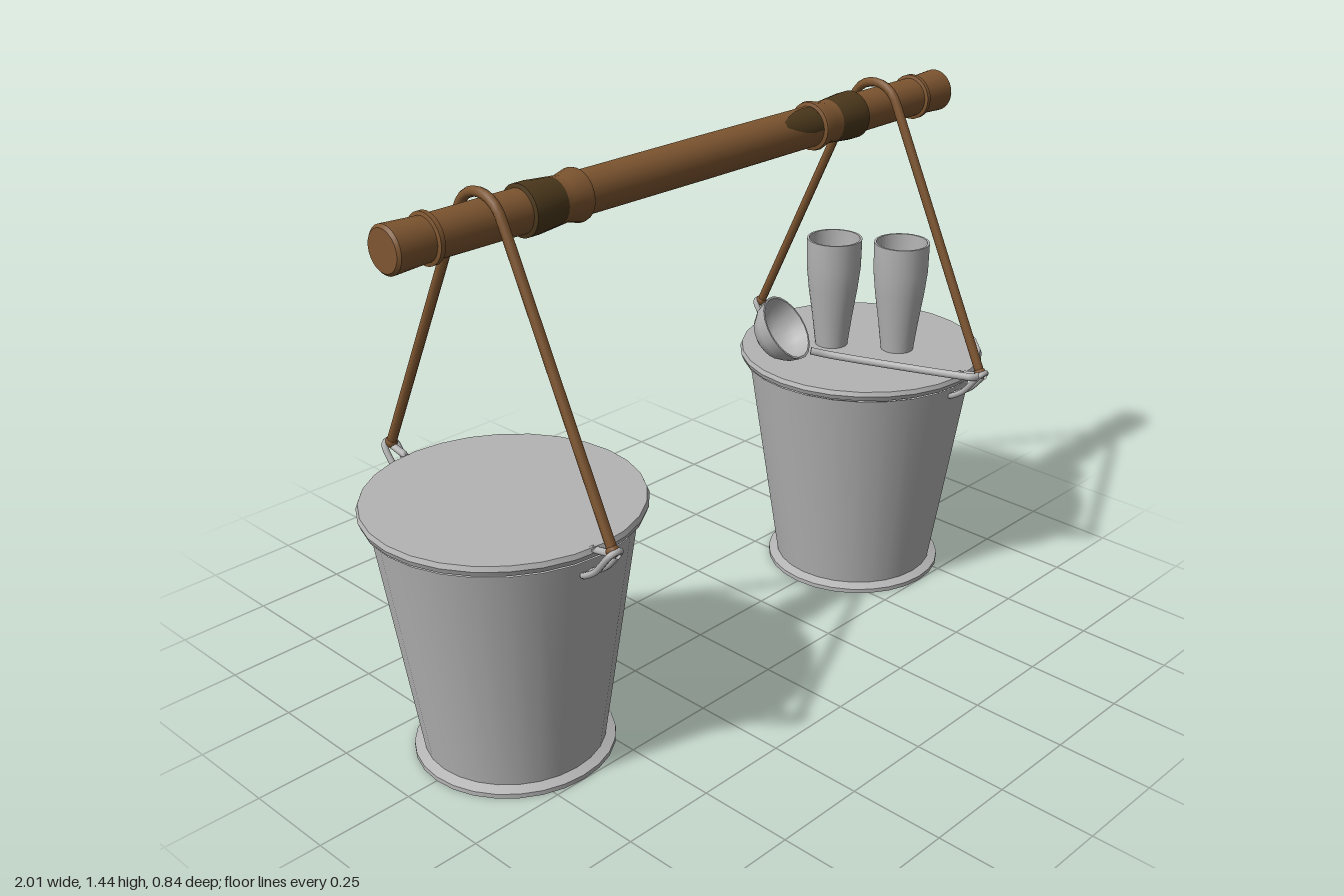
import * as THREE from 'three';
import { toCreasedNormals } from 'three/addons/utils/BufferGeometryUtils.js';

const steel = new THREE.MeshStandardMaterial({ color: 0xb4b4b4, side: THREE.DoubleSide });
steel.name = 'steel';
const wood = new THREE.MeshStandardMaterial({ color: 0x7d5530 });
wood.name = 'wood';
const darkWood = new THREE.MeshStandardMaterial({ color: 0x4b381c, side: THREE.DoubleSide });
darkWood.name = 'darkWood';

const POLE_Y = 1.355;
const V = (x, y, z) => new THREE.Vector3(x, y, z);

function add(parent, name, geometry, material) {
  const mesh = new THREE.Mesh(geometry, material);
  mesh.name = name;
  parent.add(mesh);
  return mesh;
}

function lathe(profile, segments = 24) {
  const points = profile.map(([r, y]) => new THREE.Vector2(r, y));
  return toCreasedNormals(new THREE.LatheGeometry(points, segments), 0.6);
}

function tube(points, radius, segments, closed = false, tension = 0.5) {
  const curve = new THREE.CatmullRomCurve3(points, closed, 'catmullrom', tension);
  return new THREE.TubeGeometry(curve, segments, radius, 8, closed);
}

// Turned part lying along x on the pole axis
function poleLathe(parent, name, profile, material) {
  const mesh = add(parent, name, lathe(profile.map(([x, r]) => [r, x])), material);
  mesh.rotation.z = -Math.PI / 2;
  mesh.position.y = POLE_Y;
  return mesh;
}

// Covered pail with base flange and rolled rim
function bucket(x, top) {
  const g = new THREE.Group();
  g.name = 'bucket';
  add(g, 'bucketBody', lathe([
    [0, 0.006], [0.225, 0.006], [0.25, 0], [0.25, 0.012], [0.226, 0.022],
    [0.318, top - 0.035], [0.336, top - 0.03],
  ], 28), steel);
  add(g, 'lidAndRim', lathe([
    [0.318, top - 0.03], [0.338, top - 0.025], [0.343, top - 0.012], [0.338, top], [0, top],
  ], 28), steel);
  g.position.x = x;
  return g;
}

// Rope over the pole, with a wire ear at each end
function sling(x) {
  const g = new THREE.Group();
  g.name = 'sling';
  const path = new THREE.CurvePath();
  const side = [V(0, 0.69, 0.4), V(0, 1.385, 0.073)];
  const arc = [];
  for (let i = 0; i <= 8; i++) {
    const a = 0.42 + (i / 8) * (Math.PI - 0.84);
    arc.push(V(0, POLE_Y + 0.069 * Math.sin(a), 0.076 * Math.cos(a)));
  }
  path.add(new THREE.LineCurve3(side[0], arc[0]));
  path.add(new THREE.CatmullRomCurve3(arc));
  path.add(new THREE.LineCurve3(arc[8], V(0, 0.69, -0.4)));
  add(g, 'rope', new THREE.TubeGeometry(path, 90, 0.0125, 8), wood);
  for (const s of [1, -1]) {
    add(g, 'wireEar', tube([
      V(-0.014, 0.605, 0.315 * s), V(-0.017, 0.635, 0.36 * s), V(-0.016, 0.69, 0.405 * s),
      V(0.016, 0.69, 0.405 * s), V(0.017, 0.635, 0.36 * s), V(0.014, 0.605, 0.315 * s),
    ], 0.008, 40, true), steel);
    add(g, 'earPin', tube([V(0, 0.674, 0.33 * s), V(0, 0.69, 0.415 * s)], 0.009, 4), steel);
    const knot = add(g, 'ropeKnot', new THREE.SphereGeometry(0.016, 10, 8), wood);
    knot.position.set(0, 0.695, 0.398 * s);
  }
  g.position.x = x;
  return g;
}

// Hollow tapered beaker
function cup(x, z) {
  const mesh = new THREE.Mesh(lathe([
    [0, 0], [0.046, 0], [0.056, 0.08], [0.069, 0.17], [0.076, 0.235], [0.077, 0.315],
    [0.071, 0.315], [0.069, 0.235], [0.05, 0.08], [0.04, 0.02], [0, 0.02],
  ], 24), steel);
  mesh.name = 'cup';
  mesh.position.set(x, 0.67, z);
  return mesh;
}

// Dipper lying on the lid, bowl tipped towards its handle
function ladle() {
  const g = new THREE.Group();
  g.name = 'ladle';
  const bowl = add(g, 'ladleBowl', lathe([
    [0, -0.09], [0.035, -0.084], [0.066, -0.064], [0.086, -0.035], [0.096, 0],
    [0.09, 0], [0.08, -0.035], [0.061, -0.06], [0.03, -0.078], [0, -0.083],
  ], 20), steel);
  bowl.quaternion.setFromUnitVectors(V(0, 1, 0), V(0.25, 0.6, 0.76).normalize());
  bowl.position.set(0.417, 0.772, -0.07);
  const handle = add(g, 'ladleHandle', tube([
    V(0.45, 0.71, -0.01), V(0.49, 0.698, 0.04), V(0.56, 0.69, 0.18),
    V(0.635, 0.69, 0.37), V(0.655, 0.69, 0.4), V(0.68, 0.69, 0.395),
  ], 0.011, 32), steel);
  handle.name = 'ladleHandle';
  return g;
}

export function createModel() {
  const model = new THREE.Group();
  model.name = 'carryingPoleWithBuckets';

  // Pole with flared ends and swollen bamboo-like joints
  const pole = new THREE.Group();
  pole.name = 'pole';
  model.add(pole);
  poleLathe(pole, 'poleShaft', [
    [-0.952, 0], [-0.952, 0.05], [-0.945, 0.057], [-0.85, 0.052], [-0.6, 0.053], [0, 0.054],
    [0.6, 0.053], [0.85, 0.052], [0.945, 0.057], [0.952, 0.05], [0.952, 0],
  ], wood);
  for (const s of [-1, 1]) {
    const ordered = (p) => (s < 0 ? p : p.map(([x, r]) => [-x, r]).reverse());
    poleLathe(pole, 'endRing', ordered([
      [-0.848, 0.05], [-0.845, 0.061], [-0.833, 0.061], [-0.83, 0.05],
    ]), wood);
    poleLathe(pole, 'darkJoint', ordered([
      [-0.582, 0.05], [-0.578, 0.063], [-0.55, 0.063], [-0.48, 0.057],
    ]), darkWood);
    poleLathe(pole, 'jointCollar', ordered([
      [-0.48, 0.057], [-0.455, 0.055], [-0.415, 0.065], [-0.407, 0.063], [-0.403, 0.05],
    ]), wood);
  }

  // Dark stain on the upper front, narrowing towards the middle of the pole
  const stain = new THREE.CylinderGeometry(0.0552, 0.0552, 0.13, 16, 4, true, 0, 1);
  const p = stain.attributes.position;
  const uv = stain.attributes.uv;
  for (let i = 0; i < p.count; i++) {
    const t = uv.getY(i);
    const a = 0.75 + (uv.getX(i) - 0.5) * (0.3 + 1.2 * Math.sin(t * Math.PI * 0.6));
    p.setXYZ(i, 0.27 + 0.13 * t, 0.0552 * Math.sin(a), 0.0552 * Math.cos(a));
  }
  stain.computeVertexNormals();
  add(pole, 'darkStain', stain, darkWood).position.y = POLE_Y;

  model.add(bucket(-0.665, 0.68), bucket(0.658, 0.67));
  model.add(sling(-0.69), sling(0.677));
  model.add(cup(0.612, -0.07), cup(0.712, 0.088), ladle());
  return model;
}
